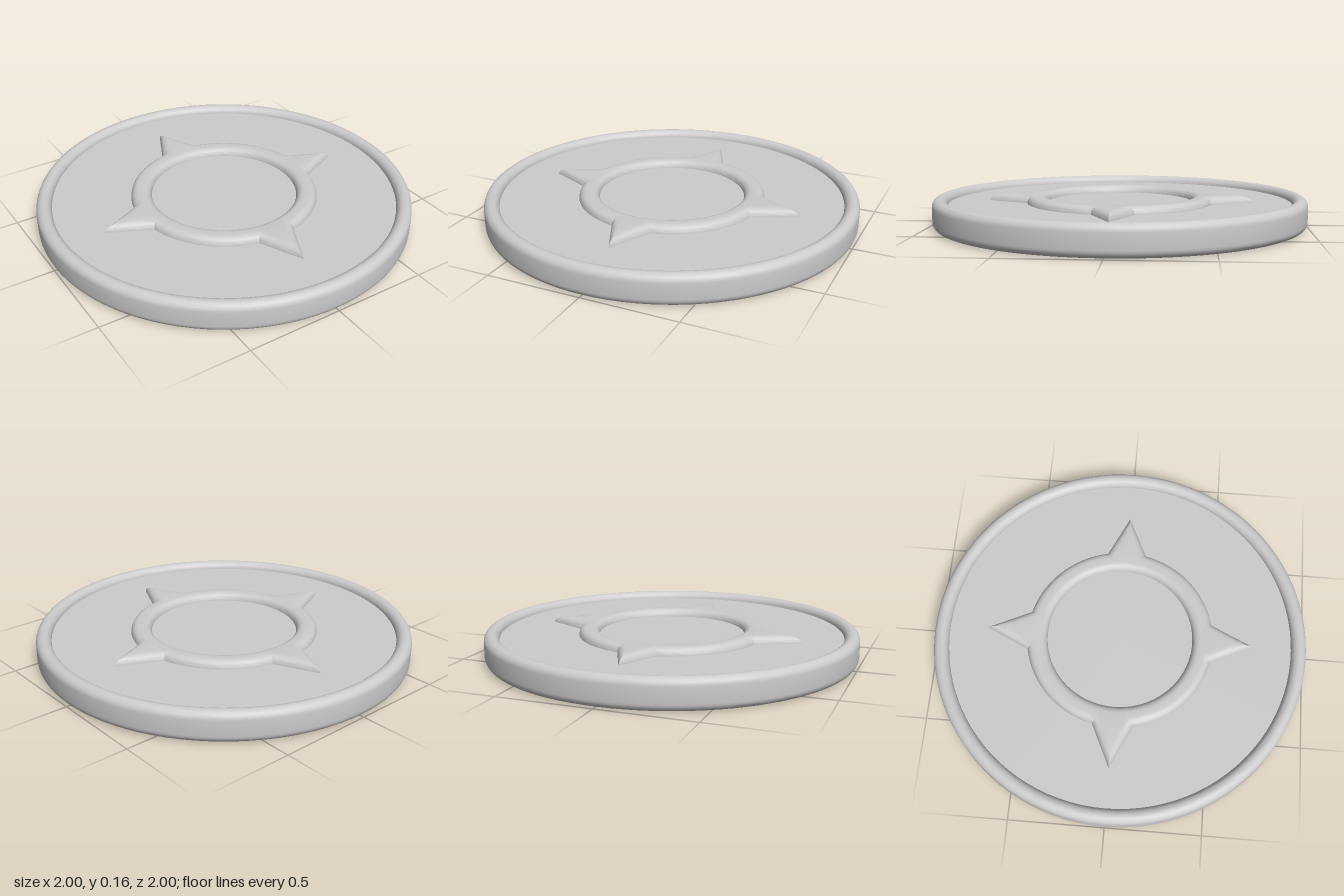
import * as THREE from 'three';
import { toCreasedNormals } from 'three/addons/utils/BufferGeometryUtils.js';

const R = 0.04;        // rounding radius, also the relief height
const FLOOR = 0.12;    // height of the recessed face
const STEPS = 6;
const material = new THREE.MeshStandardMaterial({ color: 0xcccccc });

const polar = (r, a) => new THREE.Vector2(r * Math.cos(a), r * Math.sin(a));

// Moves a counter-clockwise outline inwards by d with mitred corners
function inset(loop, d) {
  const n = loop.length;
  const normal = (a, b) => new THREE.Vector2(a.y - b.y, b.x - a.x).normalize();
  return loop.map((p, i) => {
    const n1 = normal(loop[(i + n - 1) % n], p);
    const n2 = normal(p, loop[(i + 1) % n]);
    return n1.clone().add(n2).multiplyScalar(d / (1 + n1.dot(n2))).add(p);
  });
}

// Raised shape with quarter-round edges; without an inner outline it is solid
function relief(name, outer, inner) {
  const rings = [];
  const addRing = (loop, offset, h) => rings.push(inset(loop, offset).map(p => [p.x, h, -p.y]));
  for (let k = 0; k <= STEPS; k++) {
    const a = (k / STEPS) * Math.PI / 2;
    addRing(outer, R * (1 - Math.cos(a)), R * Math.sin(a));
  }
  if (inner) {
    for (let k = STEPS; k >= 0; k--) {
      const a = (k / STEPS) * Math.PI / 2;
      addRing(inner, -R * (1 - Math.cos(a)), R * Math.sin(a));
    }
  } else {
    rings.push(outer.map(() => [0, R, 0]));
  }
  const n = outer.length;
  const index = [];
  for (let j = 0; j < rings.length - 1; j++) {
    for (let i = 0; i < n; i++) {
      const a = j * n + i, b = j * n + (i + 1) % n;
      index.push(a, b, a + n, b, b + n, a + n);
    }
  }
  const geometry = new THREE.BufferGeometry();
  geometry.setAttribute('position', new THREE.Float32BufferAttribute(rings.flat(2), 3));
  geometry.setIndex(index);
  const mesh = new THREE.Mesh(toCreasedNormals(geometry, 0.5), material);
  mesh.name = name;
  return mesh;
}

// Round body with a raised, rounded rim on both faces
function disc() {
  const pts = [new THREE.Vector2(0, 0.16 - FLOOR)];
  const arc = (cy, from, to) => {
    for (let k = 0; k <= STEPS * 2; k++) {
      const a = from + (to - from) * k / (STEPS * 2);
      pts.push(new THREE.Vector2(1 - R + R * Math.cos(a), cy + R * Math.sin(a)));
    }
  };
  arc(R, -Math.PI, 0);
  arc(FLOOR, 0, Math.PI);
  pts.push(new THREE.Vector2(0, FLOOR));
  const mesh = new THREE.Mesh(toCreasedNormals(new THREE.LatheGeometry(pts, 96), 0.5), material);
  mesh.name = 'disc';
  return mesh;
}

// Outline of a circle with four pointed rays
function starOutline() {
  const loop = [];
  const half = 0.215, arcSteps = 16, edgeSteps = 4;
  for (let q = 0; q < 4; q++) {
    const a = q * Math.PI / 2;
    const tip = polar(0.715, a);
    const start = polar(0.5, a - half), end = polar(0.5, a + half);
    for (let i = 0; i < edgeSteps; i++) loop.push(start.clone().lerp(tip, i / edgeSteps));
    for (let i = 0; i < edgeSteps; i++) loop.push(tip.clone().lerp(end, i / edgeSteps));
    for (let i = 0; i < arcSteps; i++) {
      loop.push(polar(0.5, a + half + (Math.PI / 2 - 2 * half) * i / arcSteps));
    }
  }
  return loop;
}

const rhombus = (x, z) => [[x, 0], [0, z], [-x, 0], [0, -z]].map(p => new THREE.Vector2(...p));

export function createModel() {
  const group = new THREE.Group();
  group.name = 'medallion';
  group.add(disc());

  // Upper face: ring with four points
  const star = starOutline();
  const ring = relief('pointedRing', star, star.map(p => polar(0.39, p.angle())));
  ring.position.y = FLOOR;
  group.add(ring);

  // Lower face: diamond frame around a small diamond
  const frame = relief('diamondFrame', rhombus(0.73, 0.56), rhombus(0.58, 0.445));
  const centre = relief('centreDiamond', rhombus(0.155, 0.23));
  for (const part of [frame, centre]) {
    part.rotation.x = Math.PI;
    part.position.y = 0.16 - FLOOR;
    group.add(part);
  }
  return group;
}
